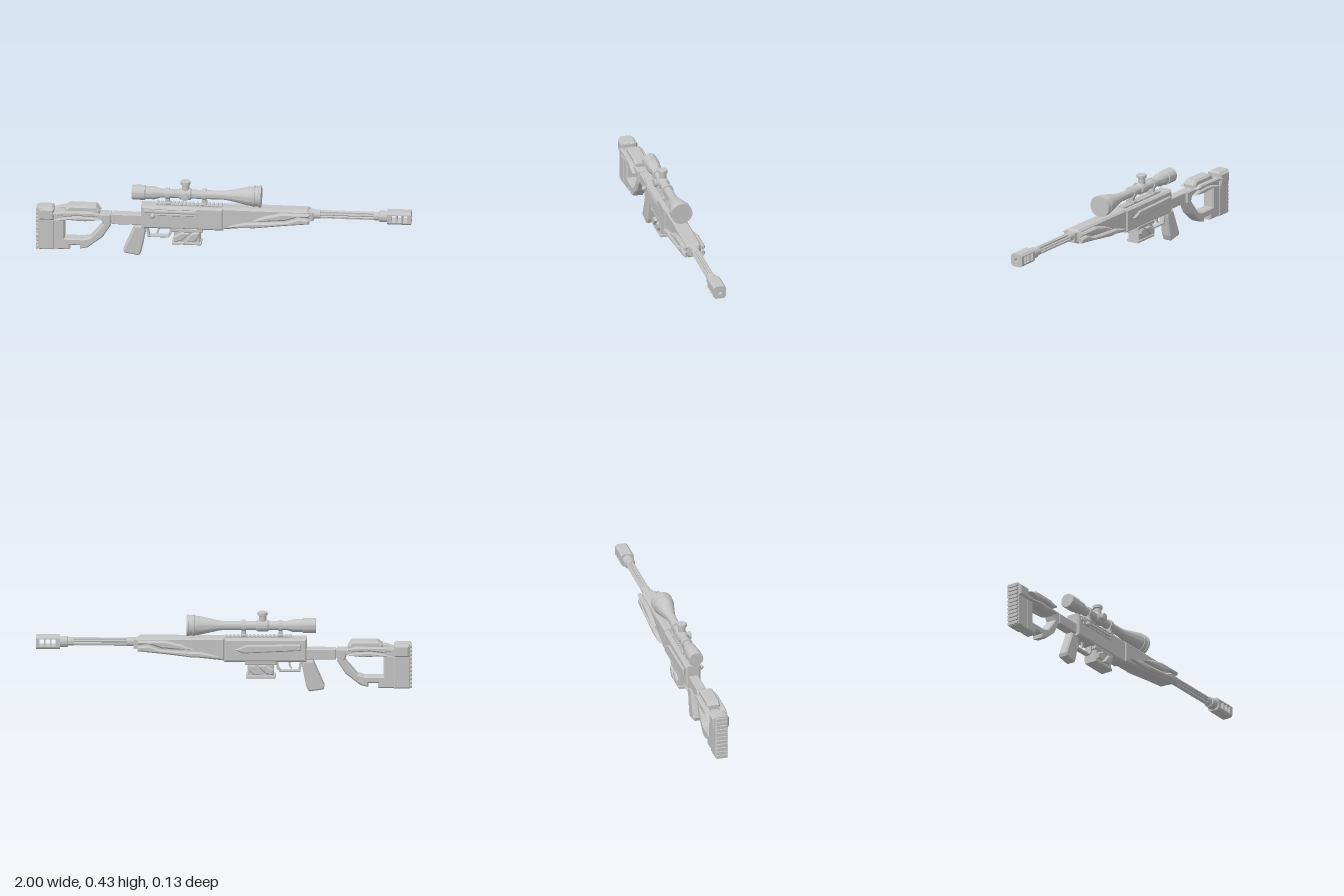
import * as THREE from 'three';
import { toCreasedNormals } from 'three/addons/utils/BufferGeometryUtils.js';

const grey = new THREE.MeshStandardMaterial({ color: 0xc4c4c4 });
grey.name = 'plain grey';

const toVectors = (pts) => pts.map(([x, y]) => new THREE.Vector2(x, y));

export function createModel() {
  const model = new THREE.Group();
  model.name = 'longRifle';

  const add = (name, geometry) => {
    const mesh = new THREE.Mesh(geometry, grey);
    mesh.name = name;
    model.add(mesh);
    return mesh;
  };

  // Side profile (x, y) extruded between two z planes, with chamfered edges
  const profile = (name, pts, z0, z1, bevel = 0.006, holes = []) => {
    const shape = new THREE.Shape(toVectors(pts));
    holes.forEach((h) => shape.holes.push(new THREE.Path(toVectors(h))));
    const g = new THREE.ExtrudeGeometry(shape, {
      depth: z1 - z0 - 2 * bevel, bevelEnabled: bevel > 0, bevelThickness: bevel,
      bevelSize: bevel, bevelOffset: -bevel, bevelSegments: 1,
    });
    g.translate(0, 0, z0 + bevel);
    return add(name, g);
  };

  // The same raised panel on both flanks
  const flankPanels = (name, pts, inner, outer, bevel = 0.006) => {
    profile(name + 'Right', pts, inner, outer, bevel);
    profile(name + 'Left', pts, -outer, -inner, bevel);
  };

  const rect = (x0, y0, x1, y1) => [[x0, y0], [x1, y0], [x1, y1], [x0, y1]];
  const block = (name, x0, x1, y0, y1, half, bevel = 0.004) =>
    profile(name, rect(x0, y0, x1, y1), -half, half, bevel);

  // Cross-section (z, y) extruded along x
  const section = (name, shape, x0, x1, y) => {
    const g = new THREE.ExtrudeGeometry(shape, { depth: x1 - x0, bevelEnabled: false, curveSegments: 12 });
    g.rotateY(Math.PI / 2).translate(x0, y, 0);
    return add(name, g);
  };

  // Turned part along x from (x, radius) pairs
  const turned = (name, pts, y, z = 0) => {
    let g = new THREE.LatheGeometry(toVectors(pts.map(([x, r]) => [r, x])), 32);
    g = toCreasedNormals(g, 0.5);
    g.rotateZ(-Math.PI / 2).translate(0, y, z);
    return add(name, g);
  };

  // ---- Receiver ----
  block('receiver', -0.44, 0, 0.165, 0.293, 0.041, 0.01);
  block('receiverRearTang', -0.595, -0.43, 0.176, 0.235, 0.026);
  block('tangJoint', -0.63, -0.59, 0.185, 0.23, 0.02);
  profile('ejectionFrame', rect(-0.4, 0.243, -0.14, 0.284), 0.036, 0.046, 0.003,
    [rect(-0.36, 0.255, -0.15, 0.277)]);
  turned('bolt', [[-0.42, 0], [-0.42, 0.011], [-0.14, 0.011], [-0.14, 0]], 0.266, 0.037);
  profile('leftFlankPanel', [[-0.41, 0.23], [-0.1, 0.215], [-0.06, 0.235], [-0.12, 0.26], [-0.41, 0.265]],
    -0.052, -0.036, 0.006);
  const arm = new THREE.CylinderGeometry(0.006, 0.007, 0.03, 10);
  arm.rotateX(Math.PI / 2).translate(-0.376, 0.252, 0.05);
  add('boltHandle', arm);
  add('boltKnob', new THREE.SphereGeometry(0.013, 14, 10).translate(-0.376, 0.247, 0.058));

  // ---- Top rail with teeth ----
  block('railBase', -0.36, 0.0, 0.288, 0.299, 0.018, 0);
  for (let i = 0; i < 17; i++) {
    const x = -0.358 + i * 0.0212;
    block('railTooth', x, x + 0.012, 0.298, 0.306, 0.021, 0.002);
  }

  // ---- Handguard ----
  profile('handguard', [[-0.005, 0.172], [0.05, 0.178], [0.45, 0.222], [0.458, 0.235], [0.458, 0.288],
    [0.445, 0.297], [-0.005, 0.297]], -0.04, 0.04, 0.01);
  block('handguardTip', 0.45, 0.48, 0.236, 0.287, 0.026);
  flankPanels('upperForePanel', [[0.16, 0.236], [0.22, 0.262], [0.31, 0.284], [0.46, 0.284], [0.46, 0.266],
    [0.4, 0.268], [0.33, 0.245], [0.27, 0.24]], 0.034, 0.062, 0.008);
  flankPanels('lowerForePanel', [[0.03, 0.198], [0.12, 0.222], [0.19, 0.225], [0.27, 0.23], [0.34, 0.236],
    [0.4, 0.258], [0.46, 0.254], [0.46, 0.228], [0.32, 0.213], [0.16, 0.193]], 0.034, 0.06, 0.008);

  // ---- Fluted barrel ----
  const fluted = new THREE.Shape();
  for (let i = 0; i < 48; i++) {
    const a = (i / 48) * Math.PI * 2;
    const r = i % 6 === 0 ? 0.0155 : i % 6 === 1 || i % 6 === 5 ? 0.018 : 0.0225;
    fluted[i ? 'lineTo' : 'moveTo'](Math.cos(a) * r, Math.sin(a) * r);
  }
  section('flutedBarrel', fluted, 0.5, 0.81, 0.267);
  turned('barrelRoot', [[0.44, 0], [0.44, 0.0235], [0.515, 0.0235], [0.52, 0.015], [0.52, 0]], 0.267);
  turned('barrelCollar', [[0.8, 0], [0.8, 0.0225], [0.828, 0.0225], [0.832, 0.03], [0.878, 0.03], [0.878, 0]], 0.267);

  // ---- Muzzle brake: bored dividers between a top and a bottom slab ----
  const octagon = new THREE.Shape(toVectors([[-0.034, -0.024], [-0.023, -0.035], [0.023, -0.035], [0.034, -0.024],
    [0.034, 0.024], [0.023, 0.035], [-0.023, 0.035], [-0.034, 0.024]]));
  octagon.holes.push(new THREE.Path().absarc(0, 0, 0.012, 0, Math.PI * 2, true));
  [[0.872, 0.895], [0.918, 0.926], [0.949, 0.957], [0.98, 1]].forEach(([a, b]) =>
    section('brakeDivider', octagon, a, b, 0.267));
  for (const s of [1, -1]) {
    const cap = [[-0.034, 0.02], [0.034, 0.02], [0.034, 0.024], [0.023, 0.035], [-0.023, 0.035], [-0.034, 0.024]];
    section('brakeSlab', new THREE.Shape(toVectors(cap.map(([z, y]) => [z, y * s]))), 0.873, 0.999, 0.267);
  }

  // ---- Scope ----
  const axis = 0.357;
  turned('scopeTube', [[-0.49, 0], [-0.49, 0.037], [-0.485, 0.04], [-0.42, 0.04], [-0.417, 0.035], [-0.37, 0.035],
    [-0.335, 0.024], [0.0, 0.024], [0.03, 0.028], [0.13, 0.05], [0.155, 0.053], [0.157, 0.057], [0.165, 0.057],
    [0.167, 0.054], [0.185, 0.054], [0.187, 0.058], [0.2, 0.058], [0.2, 0]], axis);
  for (const x of [-0.3, -0.105]) {
    turned('scopeRing', [[x - 0.011, 0], [x - 0.011, 0.031], [x + 0.011, 0.031], [x + 0.011, 0]], axis);
    block('ringFoot', x - 0.011, x + 0.011, 0.302, 0.34, 0.018, 0.003);
    block('ringClamp', x - 0.014, x + 0.014, 0.3, 0.314, 0.026, 0.003);
  }
  turned('turretHousing', [[-0.24, 0], [-0.24, 0.024], [-0.232, 0.031], [-0.178, 0.031], [-0.17, 0.024], [-0.17, 0]], axis);
  const knob = (name, pts) => toCreasedNormals(new THREE.LatheGeometry(toVectors(pts), 24), 0.5);
  const top = knob('top', [[0, 0], [0.02, 0], [0.02, 0.055], [0.026, 0.058], [0.026, 0.073], [0.023, 0.076], [0, 0.076]]);
  add('elevationTurret', top.translate(-0.205, axis, 0));
  const side = knob('side', [[0, 0], [0.017, 0], [0.017, 0.035], [0.021, 0.037], [0.021, 0.048], [0, 0.05]]);
  add('windageTurret', side.rotateX(Math.PI / 2).translate(-0.205, axis, 0));

  // ---- Pistol grip ----
  profile('pistolGrip', [[-0.475, 0.17], [-0.418, 0.17], [-0.415, 0.14], [-0.436, 0.03], [-0.447, 0.006],
    [-0.458, 0], [-0.53, 0.012], [-0.535, 0.03]], -0.027, 0.027, 0.008);

  // ---- Trigger group ----
  profile('triggerGuard', [[-0.418, 0.17], [-0.405, 0.105], [-0.297, 0.105], [-0.28, 0.125], [-0.275, 0.17]],
    -0.015, 0.015, 0.002, [[[-0.404, 0.163], [-0.395, 0.115], [-0.302, 0.115], [-0.291, 0.128], [-0.288, 0.163]]]);
  profile('trigger', [[-0.358, 0.168], [-0.34, 0.168], [-0.343, 0.145], [-0.352, 0.125], [-0.362, 0.122], [-0.353, 0.145]],
    -0.006, 0.006, 0.001);

  // ---- Magazine ----
  block('magazineWell', -0.278, -0.112, 0.148, 0.17, 0.038);
  block('magazine', -0.265, -0.125, 0.085, 0.155, 0.033);
  block('magazineFloor', -0.275, -0.118, 0.075, 0.09, 0.037);
  flankPanels('magazineRearPanel', [[-0.265, 0.095], [-0.225, 0.1], [-0.18, 0.145], [-0.22, 0.15], [-0.265, 0.125]],
    0.028, 0.047);
  flankPanels('magazineFrontPanel', [[-0.21, 0.093], [-0.15, 0.1], [-0.13, 0.125], [-0.13, 0.15], [-0.165, 0.148]],
    0.028, 0.047);

  // ---- Skeleton stock ----
  profile('stockFrame', [[-0.91, 0.022], [-0.82, 0.022], [-0.82, 0.048], [-0.767, 0.048], [-0.767, 0.027],
    [-0.725, 0.037], [-0.645, 0.1], [-0.6, 0.172], [-0.6, 0.235], [-0.91, 0.238]], -0.031, 0.031, 0.007,
  [[[-0.848, 0.086], [-0.745, 0.086], [-0.71, 0.096], [-0.642, 0.176], [-0.652, 0.2], [-0.848, 0.2]]]);
  profile('buttBlock', [[-0.99, 0.02], [-0.903, 0.02], [-0.903, 0.255], [-0.915, 0.265], [-0.99, 0.265]],
    -0.034, 0.034, 0.006);
  block('buttUpperSleeve', -0.985, -0.905, 0.195, 0.258, 0.045, 0.008);
  for (let i = 0; i < 11; i++) {
    const y = 0.022 + i * 0.022;
    block('buttPadRib', -1, -0.985, y, y + 0.017, 0.031, 0.003);
  }
  profile('cheekRest', [[-0.845, 0.232], [-0.66, 0.232], [-0.66, 0.255], [-0.68, 0.279], [-0.82, 0.279], [-0.845, 0.262]],
    -0.036, 0.036, 0.01);
  flankPanels('upperStockPanel', [[-0.91, 0.235], [-0.86, 0.25], [-0.7, 0.252], [-0.655, 0.238], [-0.69, 0.225],
    [-0.78, 0.23], [-0.84, 0.222]], 0.026, 0.058);
  flankPanels('lowerStockPanel', [[-0.91, 0.195], [-0.83, 0.215], [-0.77, 0.222], [-0.69, 0.217], [-0.65, 0.205],
    [-0.74, 0.196], [-0.82, 0.2]], 0.026, 0.05);

  return model;
}
